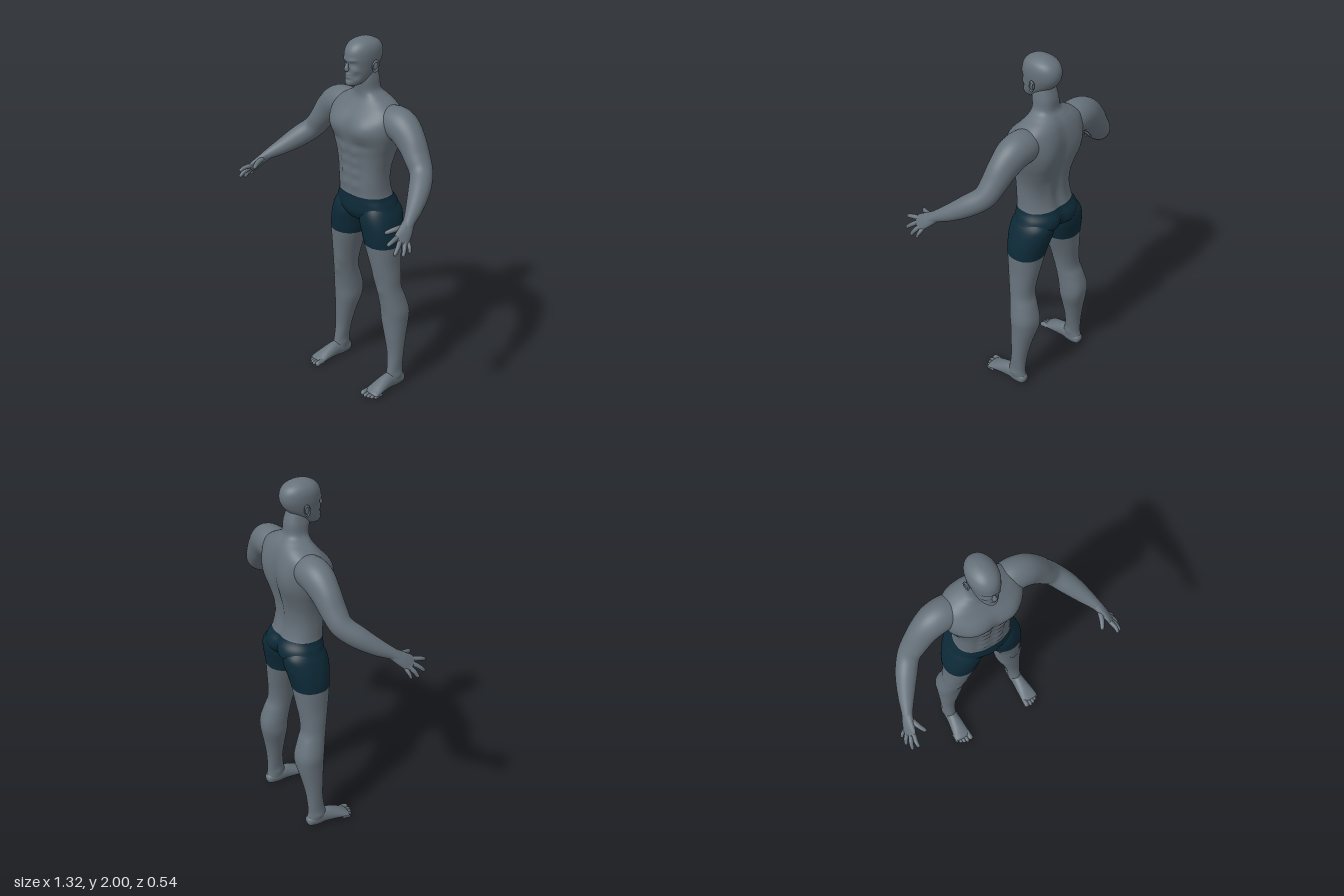
import * as THREE from 'three';

const skin = new THREE.MeshStandardMaterial({ color: 0x66717a });
skin.name = 'slate skin';
const navy = new THREE.MeshStandardMaterial({ color: 0x0d2a38 });
navy.name = 'dark navy cloth';

const STEPS = 6; // rings between neighbouring cross-sections

// Smooth (Catmull-Rom) interpolation through a list of cross-sections
function sample(sections, t) {
  const last = sections.length - 1;
  t = Math.min(Math.max(t, 0), last);
  const i = Math.min(Math.floor(t), last - 1), f = t - i;
  const at = k => sections[Math.min(Math.max(k, 0), last)];
  const [p, q, r, s] = [at(i - 1), at(i), at(i + 1), at(i + 2)];
  return q.map((_, k) => q[k] + 0.5 * f * (r[k] - p[k] + f * (2 * p[k] - 5 * q[k] + 4 * r[k] - s[k]
    + f * (3 * (q[k] - r[k]) + s[k] - p[k]))));
}

// Skin a closed surface over rings; point(t, angle) gives each vertex
function skinRings(count, cols, point) {
  const rows = (count - 1) * STEPS, pos = [], idx = [];
  for (let i = 0; i <= rows; i++)
    for (let j = 0; j < cols; j++) pos.push(...point(i / STEPS, (j / cols) * Math.PI * 2));
  for (let i = 0; i < rows; i++)
    for (let j = 0; j < cols; j++) {
      const k = (j + 1) % cols, a = i * cols + j, b = i * cols + k;
      idx.push(a, b, b + cols, a, b + cols, a + cols);
    }
  const geo = new THREE.BufferGeometry();
  geo.setAttribute('position', new THREE.Float32BufferAttribute(pos, 3));
  geo.setIndex(idx);
  geo.computeVertexNormals();
  return geo;
}

// Upright form, bottom to top: sections are [y, centreX, halfWidth, frontZ, backZ]
function upright(sections, cols, power = 1) {
  const pw = c => Math.sign(c) * Math.abs(c) ** power;
  return skinRings(sections.length, cols, (t, angle) => {
    const [y, cx, w, zf, zb] = sample(sections, t);
    return [cx + Math.max(w, 0.0005) * pw(Math.sin(angle)), y, (zf + zb) / 2 + (zf - zb) / 2 * pw(Math.cos(angle))];
  });
}

// Limb along a path: sections are [x, y, z, radiusAlongRef, otherRadius]
function limb(sections, ref, cols = 14) {
  const dir = new THREE.Vector3(...ref);
  return skinRings(sections.length, cols, (t, angle) => {
    const [x, y, z, a, b] = sample(sections, t);
    const p = sample(sections, t - 0.02), q = sample(sections, t + 0.02);
    const T = new THREE.Vector3(q[0] - p[0], q[1] - p[1], q[2] - p[2]).normalize();
    const A = dir.clone().addScaledVector(T, -dir.dot(T)).normalize();
    const B = T.clone().cross(A);
    return new THREE.Vector3(x, y, z)
      .addScaledVector(A, Math.max(a, 0.0005) * Math.cos(angle))
      .addScaledVector(B, Math.max(b, 0.0005) * Math.sin(angle)).toArray();
  });
}

// Push the surface along its normals with soft bumps [x, y, z, sizeX, sizeY, sizeZ, amount], on both sides
function sculpt(geo, bumps) {
  const p = geo.attributes.position, n = geo.attributes.normal;
  for (let i = 0; i < p.count; i++) {
    let d = 0;
    for (const [x, y, z, sx, sy, sz, amount] of bumps)
      d += amount * Math.exp(-(((Math.abs(p.getX(i)) - x) / sx) ** 2)
        - ((p.getY(i) - y) / sy) ** 2 - ((p.getZ(i) - z) / sz) ** 2);
    p.setXYZ(i, p.getX(i) + n.getX(i) * d, p.getY(i) + n.getY(i) * d, p.getZ(i) + n.getZ(i) * d);
  }
  geo.computeVertexNormals();
  return geo;
}

// Split a form into two materials at a given section
function split(geo, section, cols) {
  const cut = section * STEPS * cols * 6;
  geo.addGroup(0, cut, 0);
  geo.addGroup(cut, geo.index.count - cut, 1);
  return geo;
}

function mirrored(geo) {
  const g = geo.clone().scale(-1, 1, 1), ix = g.index.array;
  for (let i = 0; i < ix.length; i += 3) [ix[i], ix[i + 1]] = [ix[i + 1], ix[i]];
  return g;
}

export function createModel() {
  const body = new THREE.Group();
  body.name = 'standingMan';
  const add = (name, geo, mat = skin) => {
    const m = new THREE.Mesh(geo, mat);
    m.name = name;
    body.add(m);
  };
  const pair = (name, geo, mat) => {
    add('left' + name, geo, mat);
    add('right' + name, mirrored(geo), mat);
  };

  // Torso and neck, with the hips inside the shorts
  const torso = upright([
    [0.965, 0, 0.03, -0.09, -0.15], [0.99, 0, 0.12, -0.045, -0.2], [1.04, 0, 0.192, -0.016, -0.252],
    [1.09, 0, 0.182, -0.01, -0.258], [1.14, 0, 0.161, -0.01, -0.235], [1.22, 0, 0.157, -0.006, -0.217],
    [1.3, 0, 0.163, -0.004, -0.222], [1.38, 0, 0.182, 0.002, -0.24], [1.45, 0, 0.206, 0.014, -0.255],
    [1.52, 0, 0.225, 0.021, -0.262], [1.58, 0, 0.225, 0.006, -0.26], [1.63, 0, 0.2, -0.03, -0.25],
    [1.665, 0, 0.15, -0.055, -0.236], [1.69, 0, 0.105, -0.065, -0.218], [1.72, 0, 0.07, -0.065, -0.194],
    [1.78, 0, 0.062, -0.058, -0.188], [1.84, 0, 0.05, -0.07, -0.17]], 72, 0.85);
  const muscles = [
    [0.1, 1.53, 0.02, 0.075, 0.055, 0.08, 0.018],      // chest
    [0.1, 1.44, 0.02, 0.08, 0.02, 0.06, -0.006],       // crease under chest
    [0, 1.4, 0.01, 0.014, 0.2, 0.06, -0.007],          // midline
    [0.11, 1.5, -0.26, 0.065, 0.11, 0.08, 0.015],      // shoulder blade
    [0, 1.38, -0.24, 0.025, 0.24, 0.05, -0.014],       // spine
    [0.05, 1.25, -0.22, 0.03, 0.1, 0.04, 0.005],       // lower back
    [0.085, 1.06, -0.25, 0.065, 0.06, 0.06, 0.012],    // buttock
    [0, 1.04, -0.25, 0.02, 0.07, 0.06, -0.022],        // cleft
    [0, 1.04, -0.01, 0.045, 0.045, 0.05, 0.008],       // front of shorts
    [0.085, 1.27, 0, 0.014, 0.12, 0.05, -0.005]];      // side of abdomen
  for (const y of [1.2, 1.27, 1.335, 1.395]) muscles.push([0.04, y, 0, 0.032, 0.022, 0.05, 0.006]);
  add('torsoAndShorts', split(sculpt(torso, muscles), 4, 72), [navy, skin]);

  // Head
  const head = upright([
    [1.75, 0, 0.012, -0.01, -0.05], [1.762, 0, 0.036, 0.006, -0.08], [1.785, 0, 0.053, 0.011, -0.115],
    [1.82, 0, 0.065, 0.008, -0.155], [1.86, 0, 0.073, 0.01, -0.193], [1.9, 0, 0.079, 0.013, -0.211],
    [1.94, 0, 0.078, 0.007, -0.209], [1.97, 0, 0.066, -0.013, -0.19], [1.989, 0, 0.043, -0.042, -0.158],
    [1.998, 0, 0.02, -0.072, -0.13], [2, 0, 0.0005, -0.1, -0.101]], 72, 0.95);
  add('head', sculpt(head, [
    [0.03, 1.874, 0, 0.016, 0.012, 0.03, -0.011],      // eye sockets
    [0.03, 1.872, 0, 0.009, 0.006, 0.03, 0.006],       // eyes
    [0.028, 1.895, 0.005, 0.025, 0.008, 0.03, 0.005],  // brow
    [0.043, 1.84, -0.01, 0.016, 0.012, 0.03, 0.004],   // cheekbones
    [0.045, 1.81, -0.01, 0.014, 0.016, 0.03, -0.004],  // hollow cheeks
    [0, 1.818, 0.01, 0.018, 0.006, 0.03, 0.007],       // upper lip
    [0, 1.802, 0.01, 0.016, 0.006, 0.03, 0.007],       // lower lip
    [0, 1.79, 0.01, 0.022, 0.005, 0.03, -0.004],
    [0, 1.769, 0.008, 0.022, 0.012, 0.03, 0.006]]));   // chin
  add('nose', limb([[0, 1.893, 0.003, 0.006, 0.006], [0, 1.872, 0.01, 0.008, 0.009],
    [0, 1.852, 0.016, 0.013, 0.013], [0, 1.841, 0.015, 0.014, 0.01], [0, 1.835, 0.01, 0.001, 0.001]], [1, 0, 0]));

  // Ears
  const earShell = new THREE.SphereGeometry(1, 18, 12).scale(0.009, 0.027, 0.017);
  const earRim = new THREE.TorusGeometry(0.019, 0.005, 8, 24).scale(0.85, 1.45, 1).rotateY(Math.PI / 2);
  for (const [name, geo] of [['EarShell', earShell], ['EarRim', earRim]]) {
    geo.rotateX(-0.15).rotateY(-0.25);
    pair(name, geo.translate(0.08 + (geo === earRim ? 0.006 : 0), 1.858, -0.108));
  }

  // Arms
  const arm = limb([
    [0.1, 1.572, -0.15, 0.06, 0.07], [0.18, 1.575, -0.15, 0.087, 0.086], [0.255, 1.562, -0.15, 0.091, 0.083],
    [0.325, 1.508, -0.143, 0.082, 0.074], [0.385, 1.435, -0.135, 0.066, 0.066], [0.435, 1.37, -0.115, 0.06, 0.06],
    [0.487, 1.315, -0.053, 0.058, 0.057], [0.537, 1.26, 0.025, 0.045, 0.045], [0.575, 1.22, 0.095, 0.029, 0.031],
    [0.592, 1.195, 0.128, 0.024, 0.028]], [0.66, 0.75, 0], 36);
  pair('Arm', sculpt(arm, [[0.27, 1.57, -0.08, 0.07, 0.07, 0.08, 0.006], [0.37, 1.44, -0.07, 0.06, 0.06, 0.04, 0.006]]));

  // Hands: palm, four fingers and a thumb
  const across = [0.33, -0.44, -0.84];
  pair('Palm', limb([[0.573, 1.222, 0.092, 0.029, 0.026], [0.596, 1.187, 0.138, 0.039, 0.022],
    [0.611, 1.158, 0.177, 0.044, 0.016], [0.618, 1.147, 0.192, 0.034, 0.011], [0.621, 1.142, 0.199, 0.001, 0.001]], across, 24));
  const fingers = {
    IndexFinger: [[0.6, 1.17, 0.2], [0.61, 1.15, 0.275]], MiddleFinger: [[0.608, 1.16, 0.182], [0.64, 1.1, 0.255]],
    RingFinger: [[0.616, 1.15, 0.163], [0.654, 1.084, 0.208]], LittleFinger: [[0.62, 1.141, 0.146], [0.654, 1.09, 0.163]],
    Thumb: [[0.582, 1.203, 0.125], [0.538, 1.178, 0.227]] };
  for (const [name, [a, b]] of Object.entries(fingers)) {
    const r = name === 'LittleFinger' ? 0.0095 : name === 'Thumb' ? 0.0135 : 0.0115;
    // a slight arch lifts the middle joints
    pair(name, limb([[0, 1.1, 0], [0.3, 1.1, 0.003], [0.6, 1, 0.005], [0.88, 0.82, 0.002], [0.97, 0.5, 0], [1, 0.02, 0]].map(
      ([f, s, lift]) => [a[0] + (b[0] - a[0]) * f + lift, a[1] + (b[1] - a[1]) * f + lift, a[2] + (b[2] - a[2]) * f, r * s, r * s]), across));
  }

  // Legs: skin below the hem, shorts above
  const leg = upright([
    [0.012, 0.23, 0.028, -0.08, -0.196], [0.05, 0.23, 0.036, -0.075, -0.2], [0.1, 0.23, 0.035, -0.093, -0.192],
    [0.2, 0.223, 0.045, -0.106, -0.198], [0.3, 0.212, 0.058, -0.1, -0.217], [0.4, 0.199, 0.074, -0.093, -0.24],
    [0.47, 0.197, 0.078, -0.088, -0.244], [0.55, 0.188, 0.072, -0.076, -0.224], [0.61, 0.18, 0.069, -0.067, -0.203],
    [0.68, 0.171, 0.073, -0.055, -0.203], [0.76, 0.157, 0.081, -0.04, -0.213], [0.867, 0.138, 0.1, -0.025, -0.226],
    [0.93, 0.127, 0.107, -0.018, -0.24], [1, 0.112, 0.107, -0.013, -0.257], [1.06, 0.106, 0.09, -0.025, -0.255],
    [1.12, 0.1, 0.055, -0.06, -0.2]], 48, 0.93);
  pair('LegAndShorts', split(sculpt(leg, [
    [0.18, 0.6, -0.065, 0.03, 0.035, 0.04, 0.006],     // kneecap
    [0.15, 0.67, -0.06, 0.03, 0.05, 0.04, 0.006],      // inner thigh muscle
    [0.16, 0.45, -0.22, 0.03, 0.07, 0.05, 0.006],      // calf
    [0.2, 0.085, -0.14, 0.02, 0.018, 0.025, 0.006],    // ankle bones
    [0.262, 0.075, -0.145, 0.02, 0.018, 0.025, 0.006]]), 11, 48), [skin, navy]);

  // Feet and toes
  pair('Foot', limb([
    [0.23, 0.03, -0.207, 0.001, 0.001], [0.23, 0.033, -0.195, 0.027, 0.028], [0.23, 0.042, -0.15, 0.036, 0.041],
    [0.231, 0.047, -0.095, 0.037, 0.046], [0.234, 0.036, -0.03, 0.044, 0.034], [0.237, 0.023, 0.02, 0.049, 0.021],
    [0.238, 0.017, 0.043, 0.045, 0.014], [0.238, 0.014, 0.052, 0.001, 0.001]], [1, 0, 0], 32));
  [[0.2, 0.08, 0.0145], [0.224, 0.083, 0.0105], [0.244, 0.077, 0.01], [0.262, 0.067, 0.0095], [0.279, 0.052, 0.009]]
    .forEach(([x, tip, r], i) => pair('Toe' + (i + 1), limb([[x, r + 0.004, tip - 0.055, r, r], [x, r + 0.004, tip - 0.03, r, r],
      [x, r, tip - 0.012, r * 1.05, r], [x, r, tip - 0.003, r * 0.6, r * 0.6], [x, r, tip, 0.001, 0.001]], [1, 0, 0])));

  return body;
}
